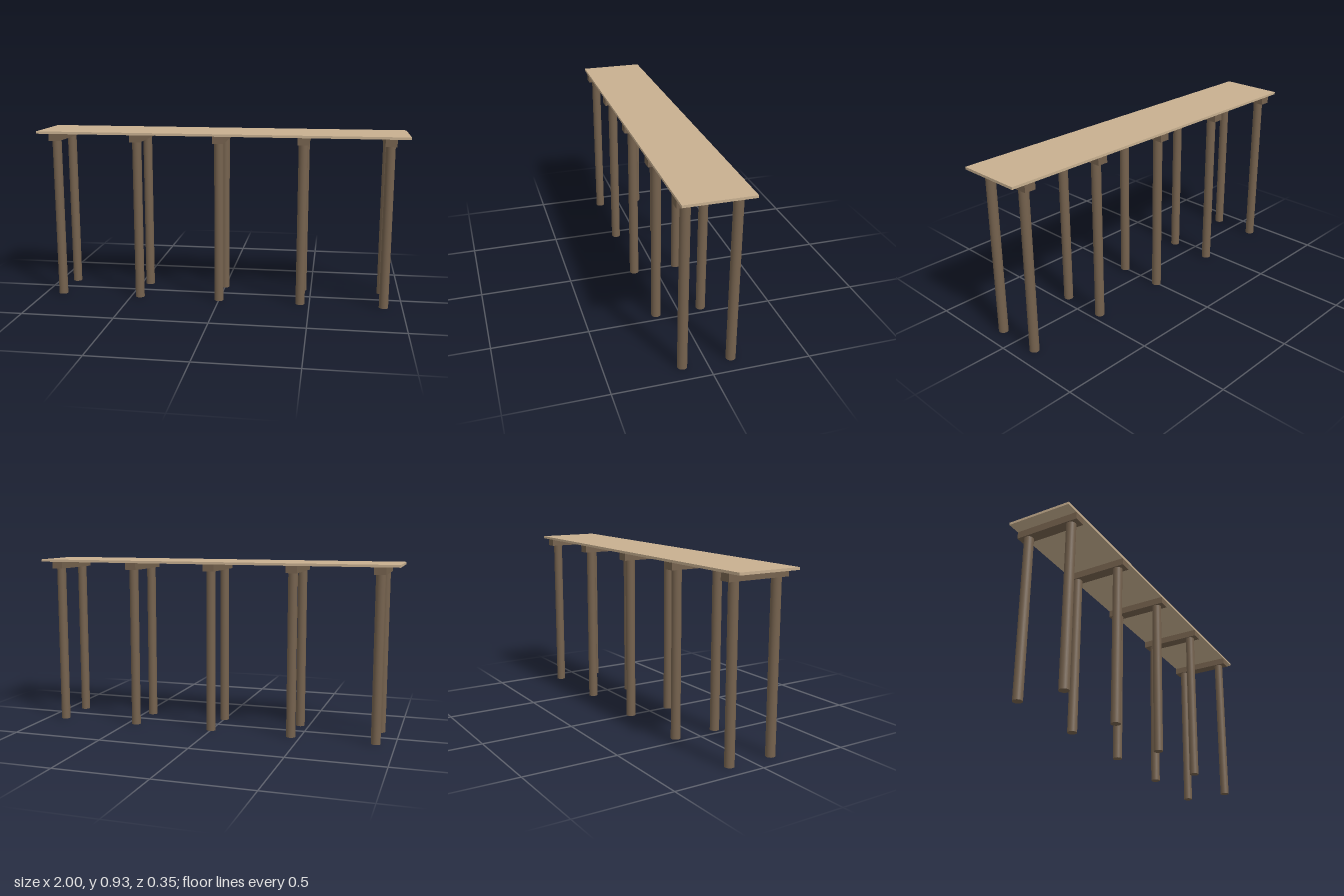
import * as THREE from 'three';

export function createModel() {
  const group = new THREE.Group();
  const plankMat = new THREE.MeshStandardMaterial({ color: 0xc8b090 });
  const timberMat = new THREE.MeshStandardMaterial({ color: 0x75624e });

  const add = (name, geometry, material, x, y, z) => {
    const mesh = new THREE.Mesh(geometry, material);
    mesh.name = name;
    mesh.position.set(x, y, z);
    group.add(mesh);
  };

  const postTop = 0.878, beamTop = 0.916, deckTop = 0.929, depth = 0.348;

  // Deck
  add('deck', new THREE.BoxGeometry(2, deckTop - beamTop, depth), plankMat, 0, (deckTop + beamTop) / 2, 0);

  // Cross beams, each carried by a pair of round posts
  const beamGeo = new THREE.BoxGeometry(0.06, beamTop - postTop, depth);
  const postGeo = new THREE.CylinderGeometry(0.025, 0.025, postTop, 24);
  for (let i = -2; i <= 2; i++) {
    const x = i * 0.45;
    add('crossBeam', beamGeo, timberMat, x, (beamTop + postTop) / 2, 0);
    for (const side of [-1, 1]) add('post', postGeo, timberMat, x, postTop / 2, side * 0.125);
  }
  return group;
}
